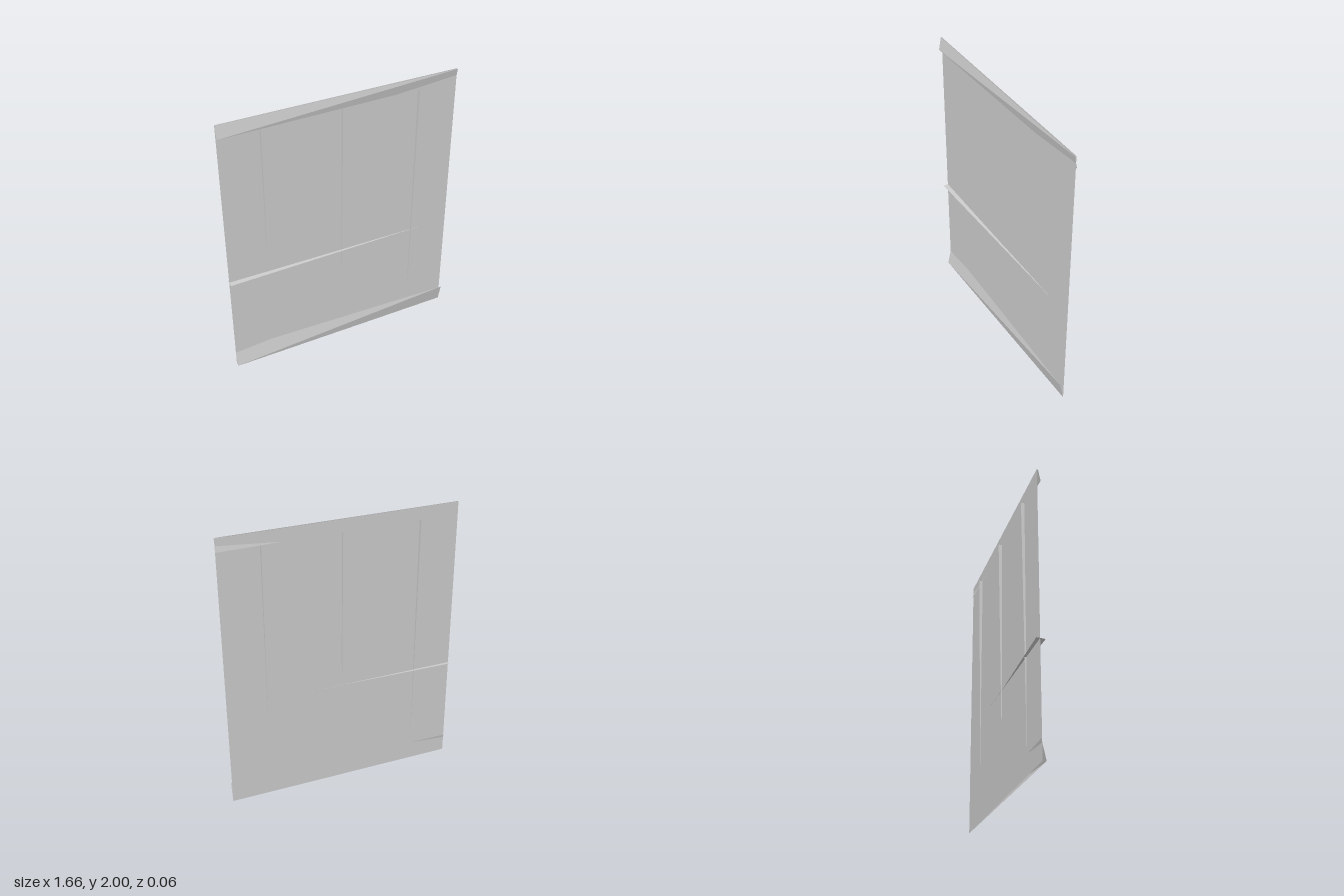
import * as THREE from 'three';

const material = new THREE.MeshStandardMaterial({ color: 0xcccccc, flatShading: true, side: THREE.DoubleSide });

// Thin sheet from four corners: bottom left, bottom right, top right, top left.
// It is folded along the bottom-left to top-right diagonal.
function sheet(name, ...corners) {
  const order = [0, 1, 2, 0, 2, 3];
  const geometry = new THREE.BufferGeometry();
  geometry.setAttribute('position', new THREE.Float32BufferAttribute(order.flatMap((i) => corners[i]), 3));
  geometry.computeVertexNormals();
  const mesh = new THREE.Mesh(geometry, material);
  mesh.name = name;
  return mesh;
}

export function createModel() {
  const group = new THREE.Group();
  group.name = 'panel';
  const w = 0.83;

  // Large, very slightly warped board
  group.add(sheet('board',
    [-w, 0, -0.005], [w, 0, -0.01], [w, 2, -0.0045], [-w, 2, -0.006]));

  // Twisted rails along the top and bottom edges
  group.add(sheet('topRail',
    [-w, 1.91, 0.018], [w, 1.91, -0.013], [w, 2, 0.006], [-w, 2, 0]));
  group.add(sheet('bottomRail',
    [-w, 0, 0.02], [w, 0, -0.008], [w, 0.135, 0.02], [-w, 0.135, -0.0105]));

  // Vertical ribs standing through the board, tapering downwards:
  // x, where the front edge ends, where the back edge ends
  const ribs = [[-0.55, 0.66, 0.14], [0, 0.33, 0.48], [0.545, 0.18, 0.695]];
  for (const [x, front, back] of ribs) {
    group.add(sheet('verticalRib',
      [x, front, -0.005], [x, back, -0.008], [x, 1.915, -0.03], [x, 1.915, 0.022]));
  }

  // Horizontal rib, wide at the right edge and tapering to the left
  group.add(sheet('horizontalRib',
    [-w, 0.768, 0.03], [0.64, 0.77, -0.006], [-0.03, 0.77, -0.007], [-w, 0.772, -0.03]));

  return group;
}
